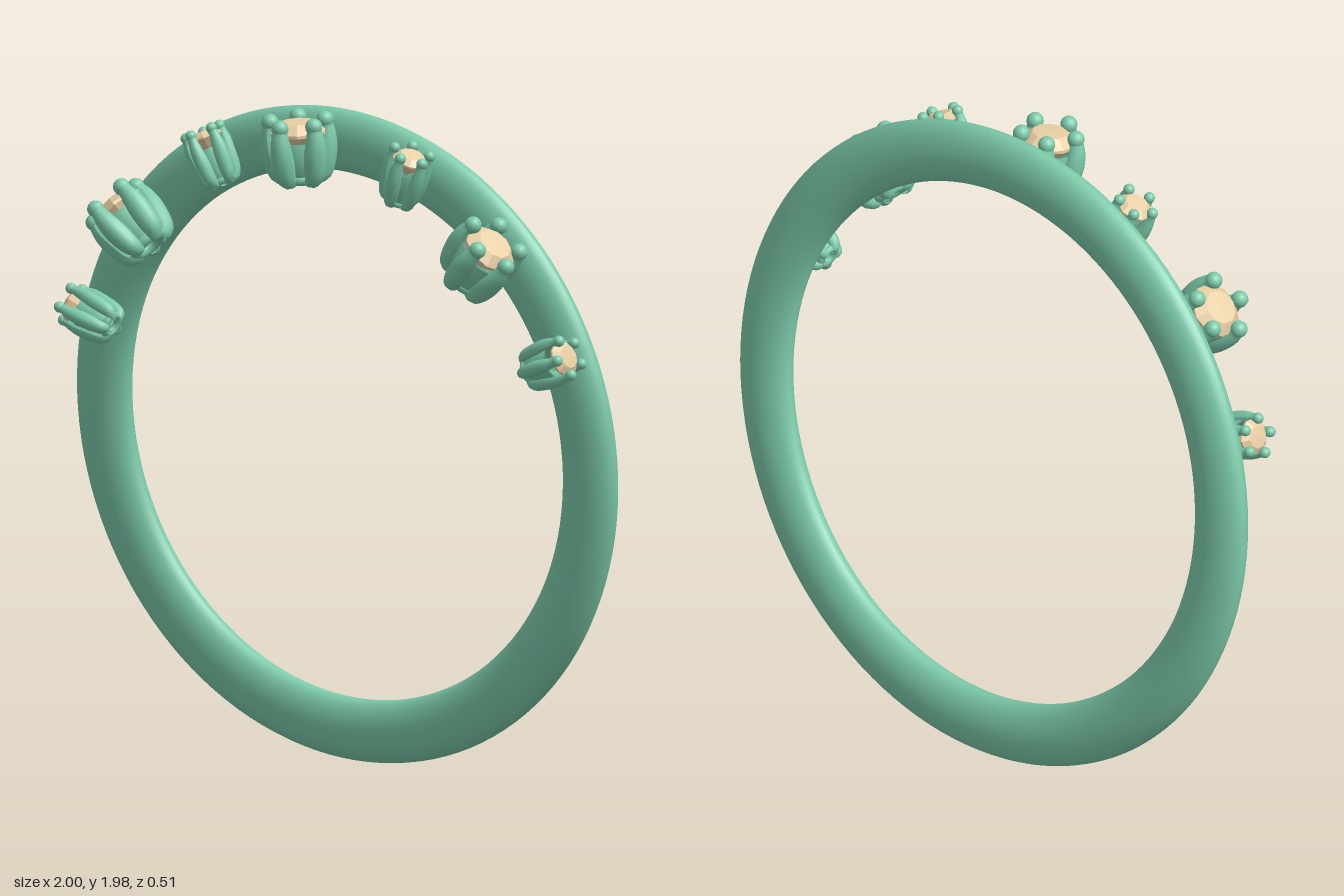
import * as THREE from 'three';

const metal = new THREE.MeshStandardMaterial({ color: 0x7ccaaa, side: THREE.DoubleSide });
const stone = new THREE.MeshStandardMaterial({ color: 0xe8cfa4, flatShading: true });

function add(parent, name, geometry, material) {
  const mesh = new THREE.Mesh(geometry, material);
  mesh.name = name;
  parent.add(mesh);
  return mesh;
}

const profile = (points) => points.map(([x, y]) => new THREE.Vector2(x, y));

// Tube whose thickness follows radiusAt(t) along the curve
function taperedTube(curve, radiusAt, segments = 20, sides = 12) {
  const geometry = new THREE.TubeGeometry(curve, segments, 1, sides);
  const pos = geometry.attributes.position;
  const v = new THREE.Vector3();
  for (let i = 0; i <= segments; i++) {
    const centre = curve.getPointAt(i / segments);
    for (let j = 0; j <= sides; j++) {
      const k = i * (sides + 1) + j;
      v.fromBufferAttribute(pos, k).sub(centre).multiplyScalar(radiusAt(i / segments)).add(centre);
      pos.setXYZ(k, v.x, v.y, v.z);
    }
  }
  geometry.computeVertexNormals();
  return geometry;
}

// Claw setting: y is the stone's axis, r the claw circle, h the height
function createSetting(r, h) {
  const setting = new THREE.Group();
  setting.name = 'clawSetting';

  // Cup under the stone, open at the bottom
  add(setting, 'cup', new THREE.LatheGeometry(profile([
    [0.3 * r, 0.08 * h], [0.62 * r, 0.1 * h], [0.8 * r, 0.35 * h], [0.88 * r, 0.64 * h],
    [0.72 * r, 0.64 * h], [0.3 * r, 0.2 * h],
  ]), 32), metal);
  const rim = add(setting, 'baseRing', new THREE.TorusGeometry(0.5 * r, 0.2 * r, 10, 32), metal);
  rim.rotation.x = Math.PI / 2;
  rim.position.y = 0.12 * h;

  // Five claws, fattest below the stone, each ending in a bead
  const path = new THREE.CatmullRomCurve3([
    [0.45, 0.1], [0.72, 0.14], [0.87, 0.4], [0.96, 0.68], [0.93, 0.9],
  ].map(([a, b]) => new THREE.Vector3(0, b * h, a * r)));
  const claw = taperedTube(path, (t) => r * (0.24 + 0.14 * Math.sin(Math.PI * Math.min(1, t * 1.1))));
  const bead = new THREE.SphereGeometry(0.28 * r, 16, 12);
  for (let i = 0; i < 5; i++) {
    const prong = new THREE.Group();
    prong.name = 'claw';
    prong.rotation.y = (i / 5) * Math.PI * 2;
    add(prong, 'clawStem', claw, metal);
    add(prong, 'clawBead', bead, metal).position.set(0, h - 0.28 * r, 0.93 * r);
    setting.add(prong);
  }

  // Faceted stone with a flat table
  const gem = add(setting, 'gem', new THREE.LatheGeometry(profile([
    [0, -0.9 * r], [0.92 * r, -0.08 * r], [0.92 * r, 0.02 * r], [0.58 * r, 0.3 * r], [0, 0.32 * r],
  ]), 10), stone);
  gem.position.y = h - 0.55 * r;
  return setting;
}

export function createModel() {
  const model = new THREE.Group();
  model.name = 'bangle';
  model.position.set(0, 1, -0.1);
  model.rotation.x = 0.108;

  // Band with an oval section
  const section = [];
  for (let i = 0; i <= 32; i++) {
    const a = (i / 32) * Math.PI * 2;
    section.push(new THREE.Vector2(0.903 + 0.095 * Math.cos(a), 0.052 * Math.sin(a)));
  }
  add(model, 'band', new THREE.LatheGeometry(section, 128), metal).rotation.x = Math.PI / 2;

  // Seven settings along the upper front, large and small in turn
  for (let i = -3; i <= 3; i++) {
    const large = i % 2 === 0;
    const r = large ? 0.092 : 0.06;
    const h = large ? 0.215 : 0.195;
    const tilt = i * THREE.MathUtils.degToRad(23.3);
    const setting = createSetting(r, h);
    const base = 1.005 - h;
    setting.position.set(Math.sin(tilt) * base, Math.cos(tilt) * base, large ? 0.14 : 0.1);
    setting.rotation.z = -tilt;
    model.add(setting);
  }

  const root = new THREE.Group();
  root.add(model);
  return root;
}
